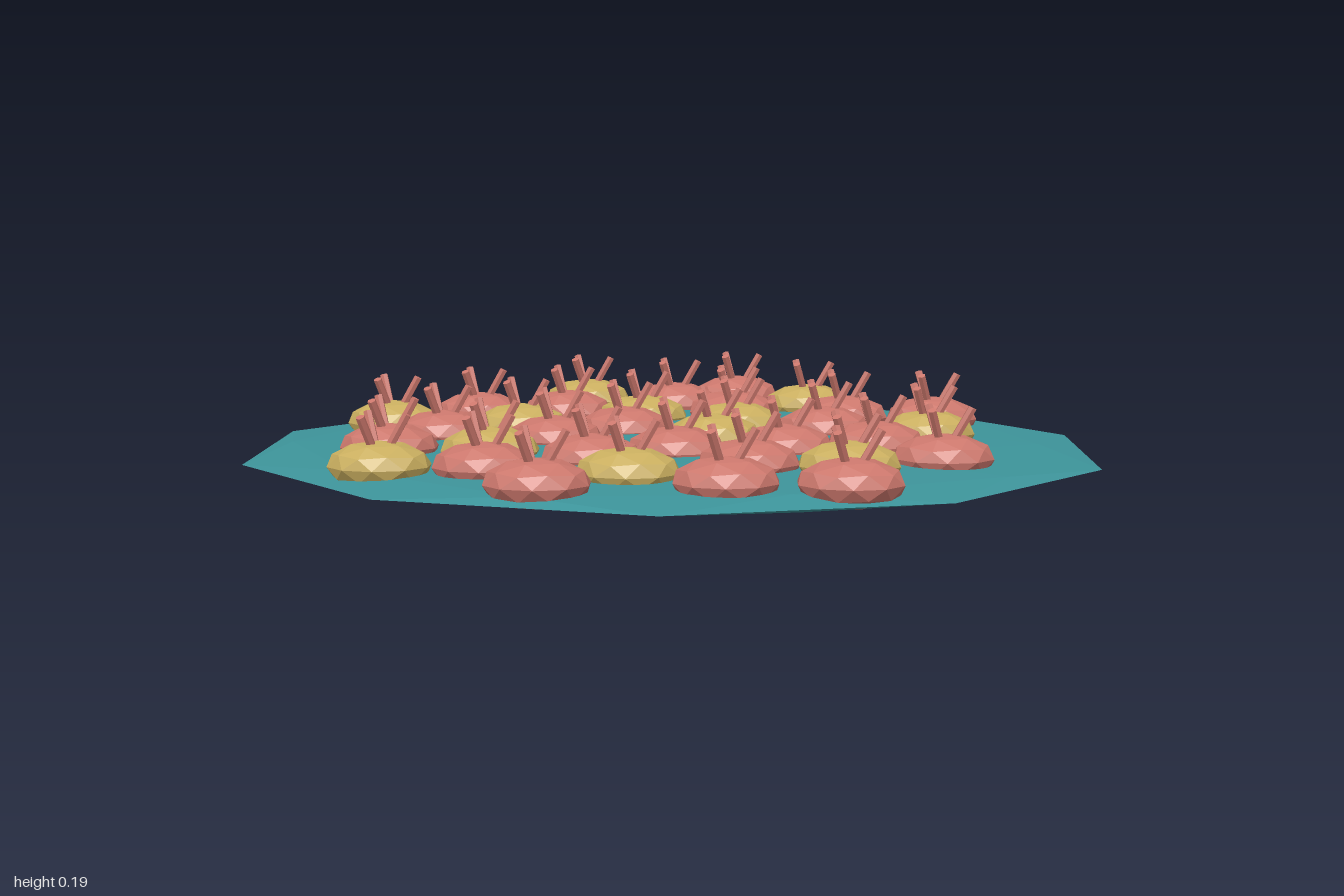
import * as THREE from 'three';
import { mergeGeometries } from 'three/addons/utils/BufferGeometryUtils.js';

// Plan is a little wider in x than in z
const SX = 1.051, SZ = 0.86;

// [x, z] centres of the mounds
const CORAL = [
  [0.155, -0.77], [-0.015, -0.61], [0.145, -0.445], [-0.295, -0.435], [-0.525, -0.385],
  [0.435, -0.355], [0.665, -0.335], [-0.125, -0.12], [0.375, -0.14], [-0.57, -0.04],
  [-0.285, 0.045], [0.49, 0.11], [0.27, 0.17], [0.015, 0.21], [-0.665, 0.19],
  [-0.175, 0.33], [0.63, 0.31], [0.185, 0.4], [-0.405, 0.465], [-0.265, 0.68],
  [0.135, 0.645], [0.4, 0.655],
];
const YELLOW = [
  [-0.26, -0.68], [0.35, -0.585], [-0.09, -0.345], [-0.725, -0.215], [-0.39, -0.17],
  [0.155, -0.21], [0.1, 0], [0.63, -0.075], [-0.42, 0.235], [0.41, 0.42],
  [-0.64, 0.46], [-0.08, 0.53],
];

// Faceted ball with a corner at the top, so its rim is a ten-sided ring
function facetedBall(rx, ry, rz) {
  const g = new THREE.IcosahedronGeometry(1, 1);
  g.rotateZ(Math.atan(2 / (1 + Math.sqrt(5))));
  return g.scale(rx, ry, rz);
}

// Three spines leaning outward
function spineTuft() {
  const parts = [];
  const dx = 0.048, dy = 0.09, length = Math.hypot(dx, dy);
  for (let k = 0; k < 3; k++) {
    const g = new THREE.CylinderGeometry(0.01, 0.01, length, 6);
    g.translate(0, length / 2, 0);
    g.rotateZ(-Math.atan2(dx, dy));
    g.translate(0.013, 0.092, 0);
    g.rotateY((k * Math.PI * 2) / 3);
    parts.push(g);
  }
  return mergeGeometries(parts).scale(SX, 1, SZ);
}

function flatMaterial(name, color) {
  const m = new THREE.MeshStandardMaterial({ color, flatShading: true });
  m.name = name;
  return m;
}

export function createModel() {
  const model = new THREE.Group();
  model.name = 'spinyMoundsOnDisc';
  const teal = flatMaterial('teal', 0x3d949a);
  const coral = flatMaterial('coral', 0xcb776c);
  const yellow = flatMaterial('yellow', 0xc9ae5f);

  // Thin lens-shaped base
  const base = new THREE.Mesh(facetedBall(SX, 0.033, SZ), teal);
  base.name = 'baseDisc';
  base.position.y = 0.033;
  model.add(base);

  // Mounds, each with its tuft of spines
  const moundGeometry = facetedBall(0.113 * SX, 0.056, 0.1075 * SZ);
  moundGeometry.translate(0, 0.067, 0);
  const tuftGeometry = spineTuft();
  const addMounds = (centres, material, name) => {
    for (const [x, z] of centres) {
      const group = new THREE.Group();
      group.name = name;
      const mound = new THREE.Mesh(moundGeometry, material);
      mound.name = 'mound';
      const spines = new THREE.Mesh(tuftGeometry, coral);
      spines.name = 'spines';
      group.add(mound, spines);
      group.position.set(x, 0, z);
      model.add(group);
    }
  };
  addMounds(CORAL, coral, 'coralMound');
  addMounds(YELLOW, yellow, 'yellowMound');
  return model;
}
